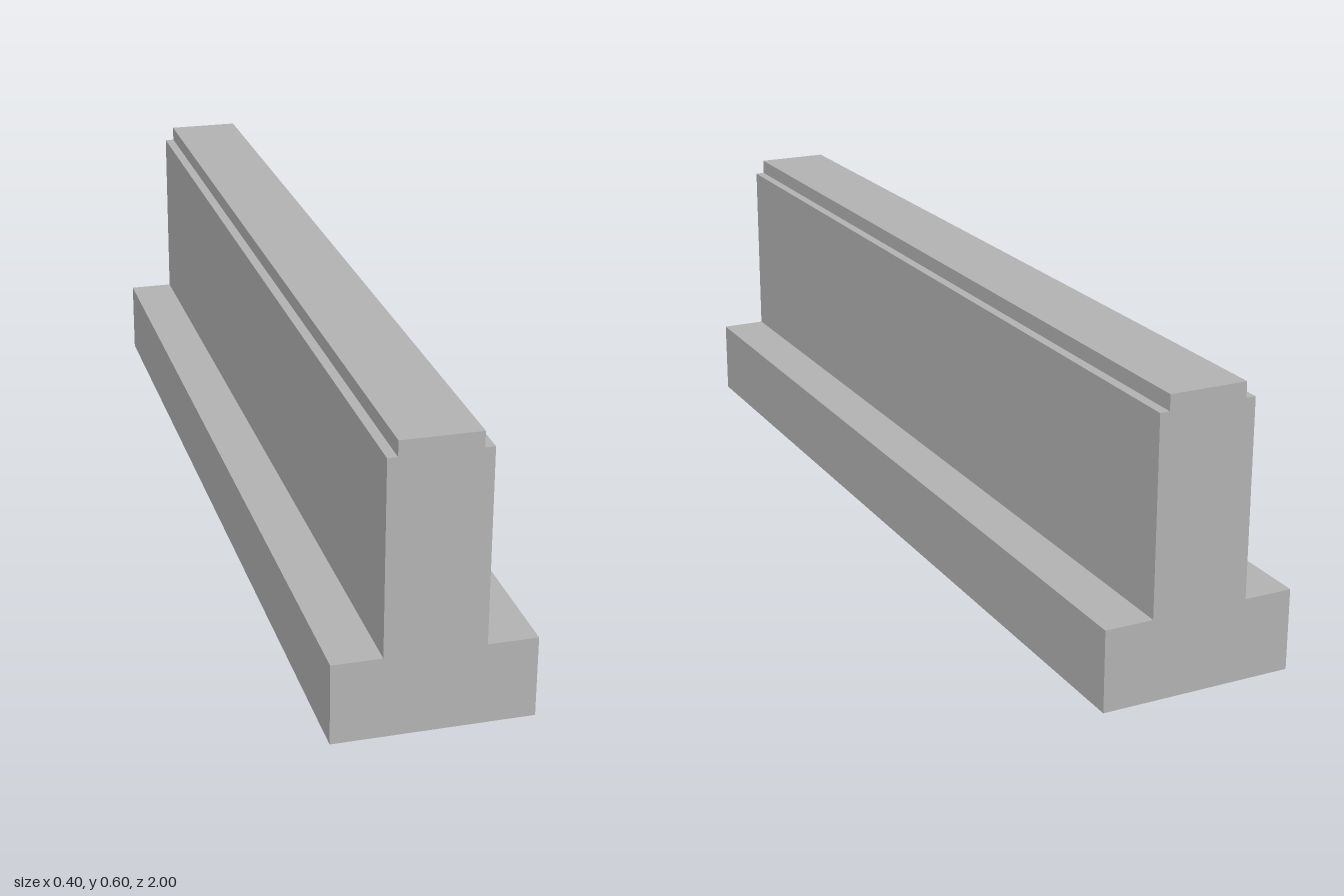
import * as THREE from 'three';

export function createModel() {
  const group = new THREE.Group();
  group.name = 'beam';
  const concreteGrey = new THREE.MeshStandardMaterial({ color: 0xb2b2b2 });
  concreteGrey.name = 'concreteGrey';

  // Right half of the inverted-T section, from the foot up to the stepped top
  const half = [[0.2, 0], [0.2, 0.167], [0.1, 0.167], [0.1, 0.568], [0.08, 0.568], [0.08, 0.6]];
  const mirrored = half.map(([x, y]) => [-x, y]).reverse();
  const section = new THREE.Shape([...half, ...mirrored].map(([x, y]) => new THREE.Vector2(x, y)));

  // Section swept along the full length
  const length = 2;
  const geometry = new THREE.ExtrudeGeometry(section, { depth: length, bevelEnabled: false });
  geometry.translate(0, 0, -length / 2);

  const beam = new THREE.Mesh(geometry, concreteGrey);
  beam.name = 'invertedTeeBeam';
  group.add(beam);
  return group;
}
